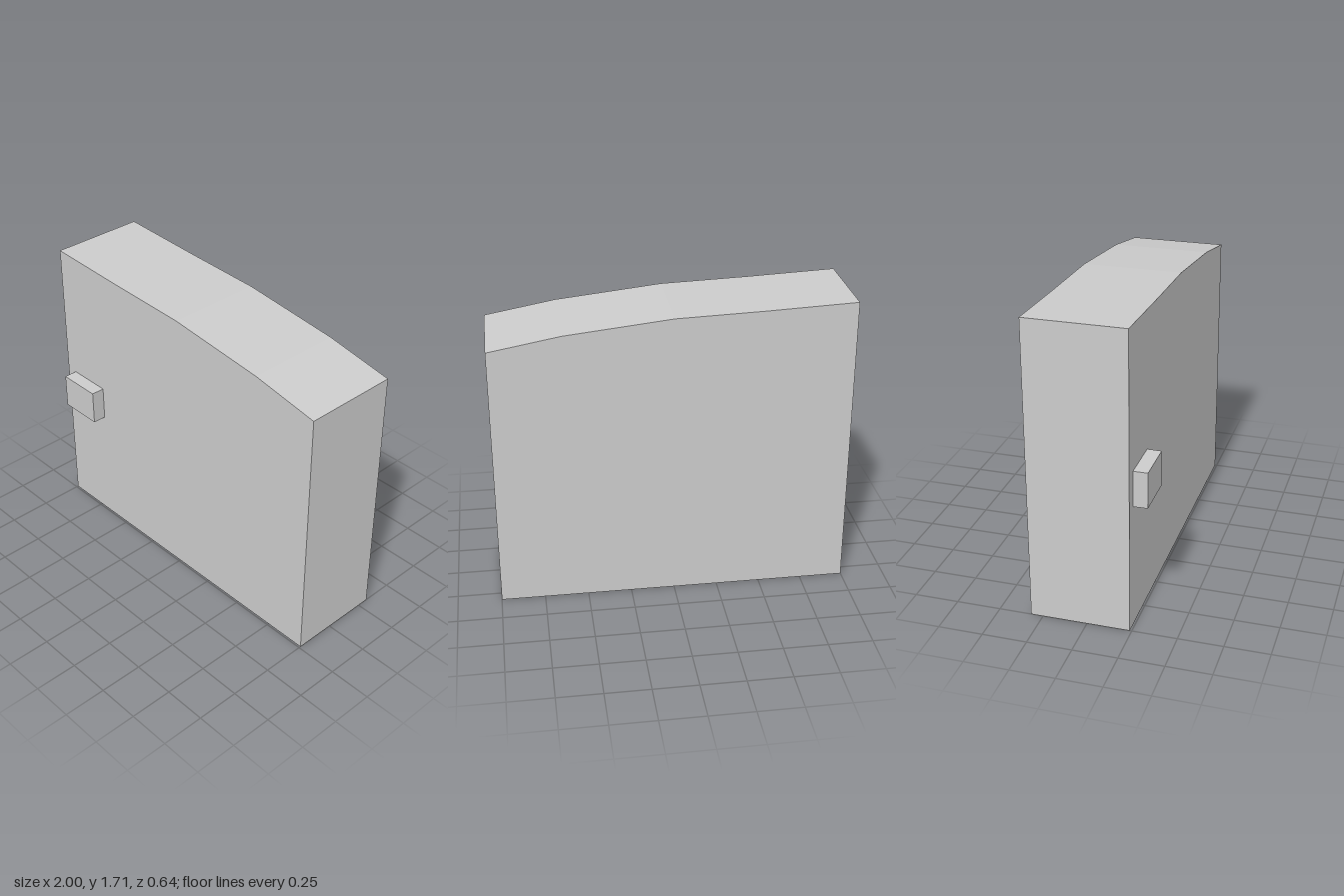
import * as THREE from 'three';

export function createModel() {
  const group = new THREE.Group();
  const material = new THREE.MeshStandardMaterial({ color: 0xcccccc, flatShading: true });

  // Thick door panel with a gently falling top edge
  const outline = new THREE.Shape([
    [-1, 0], [1, 0], [1, 1.535], [0.6, 1.607], [0, 1.672], [-0.5, 1.69], [-1, 1.713],
  ].map(([x, y]) => new THREE.Vector2(x, y)));
  const panelGeometry = new THREE.ExtrudeGeometry(outline, { depth: 0.557, bevelEnabled: false });
  panelGeometry.translate(0, 0, -0.318);
  const panel = new THREE.Mesh(panelGeometry, material);
  panel.name = 'doorPanel';
  group.add(panel);

  // Block handle on the front face
  const handle = new THREE.Mesh(new THREE.BoxGeometry(0.262, 0.204, 0.079), material);
  handle.position.set(-0.802, 0.817, 0.2785);
  handle.name = 'handle';
  group.add(handle);

  return group;
}
